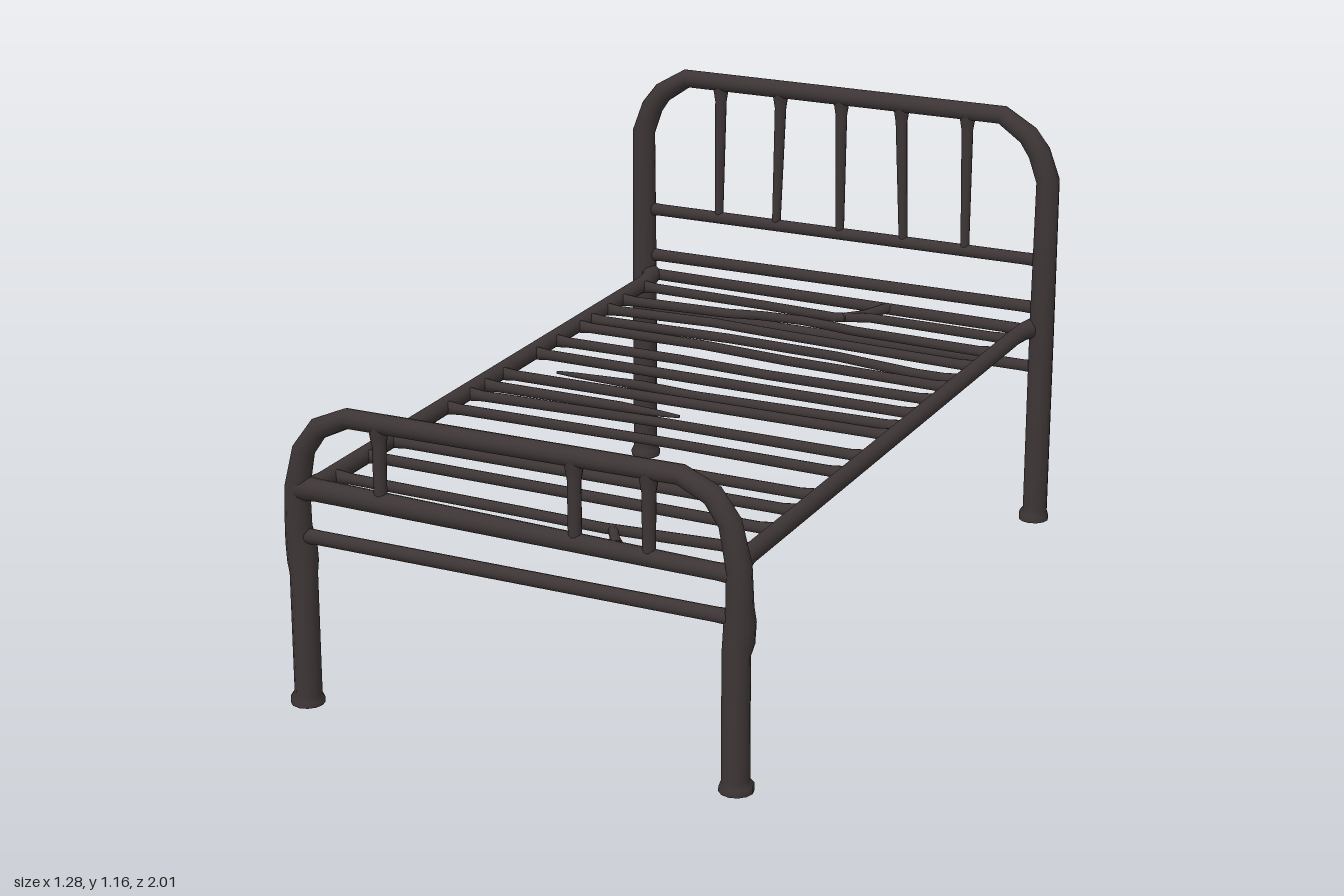
import * as THREE from 'three';

const SIDES = 12;

// Capped round bar through points [x, y, z, radius]
function barGeometry(points) {
  const P = points.map(p => new THREE.Vector3(p[0], p[1], p[2]));
  const n = P.length;
  const dir = P[n - 1].clone().sub(P[0]).normalize();
  const ref = Math.abs(dir.z) > 0.5 ? new THREE.Vector3(0, 1, 0) : new THREE.Vector3(0, 0, 1);
  const pos = [], idx = [];
  const ring = i => {
    const t = new THREE.Vector3();
    if (i > 0) t.add(P[i].clone().sub(P[i - 1]).normalize());
    if (i < n - 1) t.add(P[i + 1].clone().sub(P[i]).normalize());
    t.normalize();
    const u = ref.clone().cross(t).normalize();
    const v = t.clone().cross(u);
    for (let j = 0; j < SIDES; j++) {
      const a = j / SIDES * Math.PI * 2;
      const q = P[i].clone().addScaledVector(u, Math.cos(a) * points[i][3]).addScaledVector(v, Math.sin(a) * points[i][3]);
      pos.push(q.x, q.y, q.z);
    }
  };
  for (let i = 0; i < n; i++) ring(i);
  for (let i = 0; i < n - 1; i++) for (let j = 0; j < SIDES; j++) {
    const k = (j + 1) % SIDES, a = i * SIDES, b = a + SIDES;
    idx.push(a + j, a + k, b + k, a + j, b + k, b + j);
  }
  // End caps with their own corners, so the rims stay sharp
  for (const [i, flip] of [[0, true], [n - 1, false]]) {
    const s = pos.length / 3;
    ring(i);
    for (let j = 1; j < SIDES - 1; j++) idx.push(s, s + (flip ? j + 1 : j), s + (flip ? j : j + 1));
  }
  const g = new THREE.BufferGeometry();
  g.setAttribute('position', new THREE.Float32BufferAttribute(pos, 3));
  g.setIndex(idx);
  g.computeVertexNormals();
  return g;
}

export function createModel() {
  const model = new THREE.Group();
  model.name = 'bedFrame';
  const iron = new THREE.MeshStandardMaterial({ color: 0x3d3535 });
  iron.name = 'darkIron';

  const group = name => {
    const g = new THREE.Group();
    g.name = name;
    model.add(g);
    return g;
  };
  const bar = (parent, name, points) => {
    const m = new THREE.Mesh(barGeometry(points), iron);
    m.name = name;
    parent.add(m);
  };
  // Mirror one half of an arch into a full, continuous tube
  const arch = half => [...half, ...half.slice().reverse().map(([x, ...r]) => [-x, ...r])];
  // Bar across the bed, running into the posts
  const crossBar = (parent, name, x, y0, y1, z, r0, r1 = r0) => bar(parent, name, [
    [-x, y0, z, r0 * 1.15], [-x + 0.05, y0, z, r0], [x - 0.05, y1, z, r1], [x, y1, z, r1 * 1.15]]);
  // Upright that tapers downward, with a small flare under the arch
  const spindle = (parent, xTop, xBottom, top, bottom, z, rTop, rBottom) => bar(parent, 'spindle', [
    [xBottom, bottom, z, rBottom], [xTop, top - 0.05, z, rTop], [xTop, top - 0.02, z, rTop * 1.3], [xTop, top, z, rTop * 1.4]]);

  // Headboard
  const head = group('headboard');
  const hz = -0.968;
  bar(head, 'headArch', arch([
    [-0.6, 0, -0.96, 0.041], [-0.6, 0.016, -0.96, 0.041], [-0.602, 0.028, -0.963, 0.034],
    [-0.603, 0.55, -0.965, 0.034], [-0.605, 0.97, hz, 0.032], [-0.578, 1.045, hz, 0.031],
    [-0.545, 1.09, hz, 0.029], [-0.47, 1.138, hz, 0.026]]));
  crossBar(head, 'upperRail', 0.6, 0.745, 0.745, hz, 0.017);
  crossBar(head, 'middleRail', 0.6, 0.61, 0.61, hz, 0.017);
  crossBar(head, 'bedLevelRail', 0.6, 0.552, 0.543, hz, 0.016);
  crossBar(head, 'lowerRail', 0.6, 0.445, 0.44, hz, 0.016);
  for (const [t, b] of [[-0.365, -0.37], [-0.183, -0.193], [0, 0], [0.178, 0.19], [0.37, 0.372]])
    spindle(head, t, b, 1.135, 0.745, hz, 0.016, 0.012);

  // Footboard
  const foot = group('footboard');
  const fz = 0.965;
  bar(foot, 'footArch', arch([
    [-0.575, 0, 0.962, 0.042], [-0.575, 0.016, 0.962, 0.042], [-0.573, 0.028, 0.962, 0.034],
    [-0.573, 0.34, 0.962, 0.034], [-0.577, 0.37, 0.957, 0.038], [-0.58, 0.42, 0.957, 0.038],
    [-0.582, 0.46, 0.963, 0.033], [-0.58, 0.56, fz, 0.031], [-0.558, 0.66, fz, 0.028],
    [-0.515, 0.72, fz, 0.027], [-0.435, 0.757, fz, 0.025]]));
  crossBar(foot, 'bedLevelRail', 0.575, 0.562, 0.538, fz, 0.028, 0.021);
  crossBar(foot, 'lowerRail', 0.575, 0.44, 0.432, fz, 0.018);
  for (const x of [-0.35, 0.165, 0.355]) spindle(foot, x, x, 0.75, 0.55, fz, 0.017, 0.016);

  // Side rails, bending out only where they meet the posts
  const base = group('bedBase');
  for (const s of [-1, 1]) bar(base, 'sideRail', [
    [s * 0.58, 0.553, -0.96, 0.028], [s * 0.566, 0.553, -0.92, 0.024], [s * 0.561, 0.552, -0.87, 0.022],
    [s * 0.561, 0.55, 0.88, 0.023], [s * 0.566, 0.55, 0.92, 0.025], [s * 0.575, 0.55, 0.96, 0.028]]);

  // Wavy slats: each row is a list of x, z bends
  const L = -0.56, R = 0.56;
  const slats = [
    [[L, -0.85], [-0.18, -0.84], [0.05, -0.825], [0.14, -0.86], [R, -0.85]],
    [[L, -0.715], [-0.23, -0.73], [-0.14, -0.75], [-0.02, -0.76], [0.06, -0.75], [0.14, -0.735], [R, -0.72]],
    [[L, -0.62], [-0.23, -0.637], [0, -0.62], [R, -0.594]],
    [[L, -0.52], [-0.13, -0.53], [0.19, -0.515], [0.43, -0.475], [R, -0.472]],
    [[L, -0.45], [-0.18, -0.45], [0.08, -0.425], [R, -0.408]],
    [[L, -0.313], [-0.18, -0.313], [0.08, -0.297], [R, -0.297]],
    [[L, -0.196], [R, -0.18]],
    [[-0.425, -0.08], [-0.18, -0.08], [-0.02, -0.064], [R, -0.074]],
    [[L, -0.01], [R, -0.005]],
    [[L, 0.09], [-0.15, 0.09], [0.015, 0.095]],
    [[L, 0.17], [-0.02, 0.154], [R, 0.164]],
    [[L, 0.286], [0.08, 0.281], [R, 0.292]],
    [[L, 0.451], [R, 0.461]],
    [[L, 0.562], [R, 0.573]],
    [[L, 0.684], [R, 0.705]],
    [[L, 0.838], [-0.02, 0.854], [0.19, 0.864], [R, 0.843]],
  ];
  const y = 0.55;
  for (const row of slats) {
    const [x0, z0] = row[0], [x1, z1] = row[row.length - 1];
    const joined0 = x0 === L, joined1 = x1 === R;
    bar(base, 'slat', [
      [x0, y, z0, joined0 ? 0.019 : 0.004], [x0 + 0.05, y, z0, joined0 ? 0.014 : 0.007],
      ...row.slice(1, -1).map(([x, z]) => [x, y, z, 0.013]),
      [x1 - 0.05, y, z1, joined1 ? 0.014 : 0.008], [x1, y, z1, joined1 ? 0.019 : 0.004]]);
  }

  // Short braces from the end slats to the head and foot rails
  bar(base, 'headBrace', [[0.07, y, -0.83, 0.013], [0.115, y, -0.88, 0.013], [0.15, y, -0.965, 0.015]]);
  bar(base, 'footBrace', [[0.21, y, 0.86, 0.012], [0.24, y, 0.91, 0.012], [0.27, y, 0.96, 0.018]]);

  return model;
}
